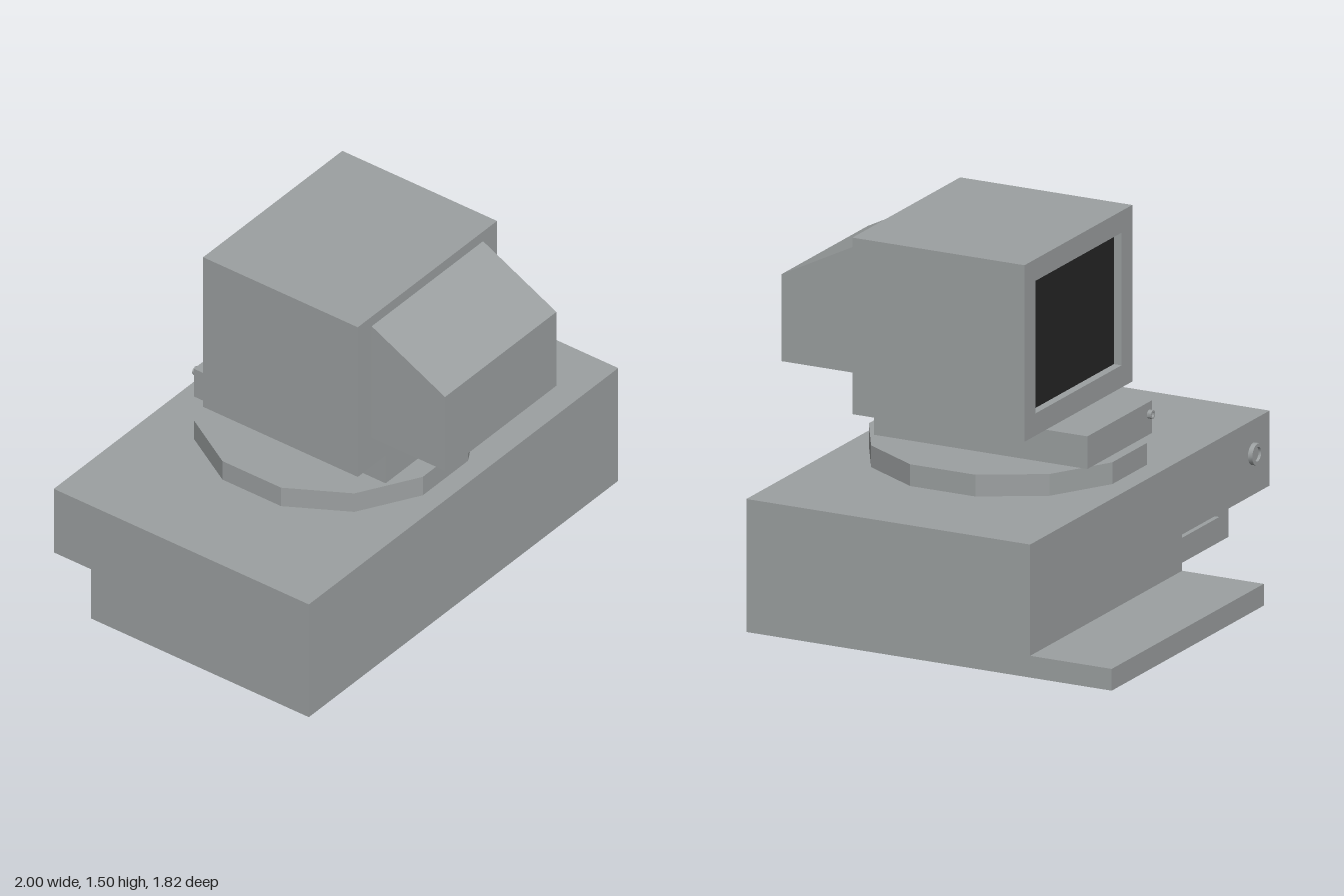
import * as THREE from 'three';
import { toCreasedNormals } from 'three/addons/utils/BufferGeometryUtils.js';

const casing = new THREE.MeshStandardMaterial({ color: 0x9ca0a1 });
casing.name = 'casing grey';
const glass = new THREE.MeshStandardMaterial({ color: 0x262626 });
glass.name = 'screen black';

export function createModel() {
  const model = new THREE.Group();
  model.name = 'desktopComputer';

  function add(name, geometry, material = casing) {
    const mesh = new THREE.Mesh(geometry, material);
    mesh.name = name;
    model.add(mesh);
    return mesh;
  }

  // Box given by its limits on each axis
  function box(name, [x0, x1], [y0, y1], [z0, z1], material) {
    const mesh = add(name, new THREE.BoxGeometry(x1 - x0, y1 - y0, z1 - z0), material);
    mesh.position.set((x0 + x1) / 2, (y0 + y1) / 2, (z0 + z1) / 2);
  }

  // Side profile of [z, y] points, extruded from x0 to x1
  function sideProfile(name, points, x0, x1) {
    const shape = new THREE.Shape(points.map(([z, y]) => new THREE.Vector2(z, y)));
    const geometry = new THREE.ExtrudeGeometry(shape, { depth: x1 - x0, bevelEnabled: false });
    geometry.rotateY(-Math.PI / 2).translate(x1, 0, 0);
    add(name, geometry);
  }

  // Round button with a raised rim, facing -z
  function button(name, radius, depth, x, y, z) {
    const profile = [[0, 0], [1, 0], [1, 1], [0.65, 1], [0.65, 0.4], [0, 0.4]]
      .map(([r, h]) => new THREE.Vector2(r * radius, h * depth));
    const lathe = new THREE.LatheGeometry(profile, 16).rotateX(-Math.PI / 2);
    add(name, toCreasedNormals(lathe, 0.6)).position.set(x, y, z);
  }

  // Base unit: long half with the low keyboard ledge, short half with the drive notch
  sideProfile('baseWithLedge', [
    [0.725, 0], [0.725, 0.55], [-0.545, 0.55], [-0.545, 0.09], [-0.91, 0.09], [-0.91, 0],
  ], -0.27, 1);
  sideProfile('baseWithNotch', [
    [0.725, 0], [0.725, 0.55], [-0.545, 0.55], [-0.545, 0.24], [-0.36, 0.24], [-0.36, 0],
  ], -1, -0.27);
  box('driveBar', [-0.85, -0.35], [0.08, 0.13], [-0.4, -0.36]);
  button('powerButton', 0.045, 0.02, -0.863, 0.41, -0.545);

  // Twelve-sided swivel plate, flat sides on the axes
  const plate = new THREE.CylinderGeometry(0.564, 0.564, 0.09, 12);
  plate.rotateY(Math.PI / 12);
  add('swivelPlate', toCreasedNormals(plate, 0.1)).position.set(0, 0.595, 0.09);

  // Neck and its small button
  box('neck', [-0.27, 0.27], [0.64, 0.775], [-0.41, 0.545]);
  button('neckButton', 0.018, 0.018, -0.228, 0.731, -0.419);

  // Monitor: solid block with a bezel frame around the sunken screen
  const bezelDepth = 0.04;
  box('monitorBody', [-0.45, 0.45], [0.775, 1.505], [-0.225 + bezelDepth, 0.545]);
  const rectangle = (Type, x, y0, y1) => new Type([[-x, y0], [x, y0], [x, y1], [-x, y1]]
    .map(([a, b]) => new THREE.Vector2(a, b)));
  const frame = rectangle(THREE.Shape, 0.45, 0.775, 1.505);
  frame.holes.push(rectangle(THREE.Path, 0.36, 0.867, 1.415));
  add('bezel', new THREE.ExtrudeGeometry(frame, { depth: bezelDepth, bevelEnabled: false }))
    .position.z = -0.225;
  box('screen', [-0.36, 0.36], [0.867, 1.415], [-0.191, -0.185], glass);

  // Tube housing with a sloping top
  sideProfile('tubeHousing', [
    [0.545, 0.915], [0.91, 0.915], [0.91, 1.275], [0.545, 1.458],
  ], -0.36, 0.36);

  return model;
}
